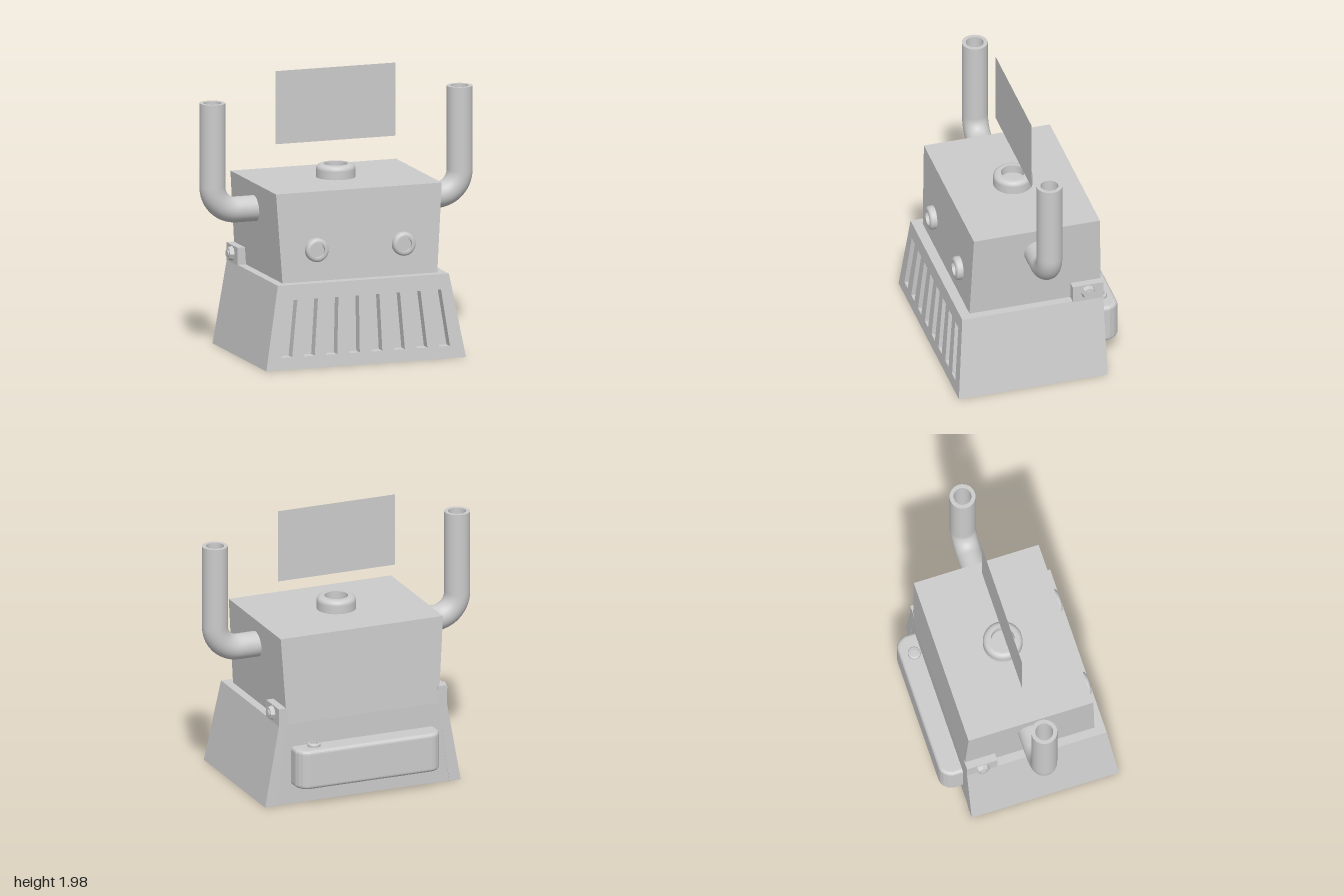
import * as THREE from 'three';

const grey = new THREE.MeshStandardMaterial({ color: 0xcccccc });
const greyDouble = new THREE.MeshStandardMaterial({ color: 0xcccccc, side: THREE.DoubleSide });

function add(parent, name, geometry, material = grey) {
  const mesh = new THREE.Mesh(geometry, material);
  mesh.name = name;
  parent.add(mesh);
  return mesh;
}

// Box whose bottom and top rectangles differ: each is [x0, x1, z0, z1]
function taperedBox(y0, y1, bottom, top) {
  const geo = new THREE.BoxGeometry(1, 1, 1);
  const p = geo.attributes.position;
  for (let i = 0; i < p.count; i++) {
    const up = p.getY(i) > 0;
    const r = up ? top : bottom;
    p.setXYZ(i, p.getX(i) < 0 ? r[0] : r[1], up ? y1 : y0, p.getZ(i) < 0 ? r[2] : r[3]);
  }
  geo.computeVertexNormals();
  return geo;
}

// Rounded collar with a sunken flat centre, standing along +y
function collar(outer, inner, height, recess) {
  const round = Math.min(0.035, (outer - inner) * 0.7);
  const pts = [new THREE.Vector2(outer, 0)];
  for (let i = 0; i <= 6; i++) {
    const a = (i / 6) * Math.PI / 2;
    pts.push(new THREE.Vector2(outer - round + Math.cos(a) * round, height - round + Math.sin(a) * round));
  }
  // doubled points keep the inner rim crisp
  for (const y of [height, height, height - recess, height - recess]) pts.push(new THREE.Vector2(inner, y));
  pts.push(new THREE.Vector2(0, height - recess));
  return new THREE.LatheGeometry(pts, 32);
}

// Slotted front of the jaw: flat panel with holes, then leaned backwards
function grillePanel() {
  const shape = new THREE.Shape([
    new THREE.Vector2(-0.735, 0), new THREE.Vector2(0.735, 0),
    new THREE.Vector2(0.63, 0.585), new THREE.Vector2(-0.63, 0.585),
  ]);
  for (let i = 0; i < 8; i++) {
    const low = (i - 3.5) * 0.166, high = (i - 3.5) * 0.151, w = 0.039;
    shape.holes.push(new THREE.Path([
      new THREE.Vector2(low - w, 0.085), new THREE.Vector2(high - w, 0.48),
      new THREE.Vector2(high + w, 0.48), new THREE.Vector2(low + w, 0.085),
    ]));
  }
  const geo = new THREE.ExtrudeGeometry(shape, { depth: 0.07, bevelEnabled: false });
  const p = geo.attributes.position;
  for (let i = 0; i < p.count; i++) p.setZ(i, p.getZ(i) + 0.54 - p.getY(i) * 0.055 / 0.585);
  geo.computeVertexNormals();
  return geo;
}

// Bent hollow pipe on the side given by s
function hornPipe(s) {
  const group = new THREE.Group();
  group.name = s > 0 ? 'leftPipe' : 'rightPipe';
  const v = (x, y) => new THREE.Vector3(s * x, y, 0.01);
  const path = new THREE.CurvePath();
  path.add(new THREE.LineCurve3(v(0.55, 1.03), v(0.74, 1.03)));
  const k = 0.17 * 0.5523;
  path.add(new THREE.CubicBezierCurve3(v(0.74, 1.03), v(0.74 + k, 1.03), v(0.91, 1.2 - k), v(0.91, 1.2)));
  path.add(new THREE.LineCurve3(v(0.91, 1.2), v(0.91, 1.79)));
  add(group, 'pipeOutside', new THREE.TubeGeometry(path, 60, 0.09, 28), greyDouble);
  add(group, 'pipeInside', new THREE.TubeGeometry(path, 60, 0.062, 28), greyDouble);
  const rim = add(group, 'pipeRim', new THREE.RingGeometry(0.062, 0.09, 28));
  rim.rotation.x = -Math.PI / 2;
  rim.position.set(s * 0.91, 1.79, 0.01);
  return group;
}

// Tank with cut rear corners and softened edges
function tankGeometry() {
  const b = 0.025;
  const shape = new THREE.Shape();
  shape.moveTo(-0.54 + b, 0.44);
  shape.lineTo(0.54 - b, 0.44);
  shape.lineTo(0.54 - b, 0.53);
  shape.quadraticCurveTo(0.52 - b, 0.61 - b, 0.48 - b, 0.61 - b);
  shape.lineTo(-0.48 + b, 0.61 - b);
  shape.quadraticCurveTo(-0.52 + b, 0.61 - b, -0.54 + b, 0.53);
  const geo = new THREE.ExtrudeGeometry(shape, {
    depth: 0.28 - 2 * b, bevelThickness: b, bevelSize: b, bevelSegments: 4, curveSegments: 4,
  });
  geo.rotateX(-Math.PI / 2); // shape y becomes -z, depth becomes +y
  geo.translate(0, 0.14 + b, 0);
  return geo;
}

export function createModel() {
  const model = new THREE.Group();
  model.name = 'robotHead';

  // Head: upper block and the lower block that fills the jaw
  add(model, 'upperHead', taperedBox(0.585, 1.21, [-0.57, 0.57, -0.46, 0.485], [-0.61, 0.61, -0.442, 0.465]));
  add(model, 'lowerHead', taperedBox(0.004, 0.585, [-0.65, 0.65, -0.457, 0.538], [-0.57, 0.57, -0.46, 0.484]));

  // Jaw front
  add(model, 'jawGrille', grillePanel());

  for (const s of [1, -1]) {
    const side = s > 0 ? 'left' : 'right';
    const span = (a, b) => (s > 0 ? [a, b] : [-b, -a]);

    // Jaw side, hinge tab and bolt
    add(model, side + 'JawSide', taperedBox(0, 0.585,
      [...span(0.65, 0.735), -0.46, 0.54], [...span(0.565, 0.63), -0.46, 0.485]));
    const tab = [...span(0.56, 0.632), -0.46, -0.24];
    add(model, side + 'HingeTab', taperedBox(0.58, 0.705, tab, tab));
    const bolt = new THREE.Group();
    bolt.name = side + 'HingeBolt';
    bolt.position.set(s * 0.63, 0.648, -0.35);
    bolt.rotation.z = -s * Math.PI / 2;
    add(bolt, 'boltHead', new THREE.CylinderGeometry(0.042, 0.053, 0.035, 8).toNonIndexed()).position.y = 0.015;
    bolt.children[0].geometry.computeVertexNormals();
    add(bolt, 'boltTip', new THREE.CylinderGeometry(0.026, 0.026, 0.02, 12)).position.y = 0.032;
    model.add(bolt);

    // Eye
    const eye = add(model, side + 'Eye', collar(0.083, 0.05, 0.055, 0.025), greyDouble);
    eye.rotation.x = Math.PI / 2;
    eye.position.set(s * 0.32, 0.805, 0.47);

    model.add(hornPipe(s));
  }

  // Collar on top of the head
  add(model, 'topCollar', collar(0.137, 0.082, 0.097, 0.06), greyDouble).position.set(0, 1.205, 0.005);

  // Rear tank with its filler cap
  add(model, 'rearTank', tankGeometry());
  add(model, 'tankCap', collar(0.045, 0.028, 0.035, 0.015), greyDouble).position.set(0.39, 0.41, -0.51);

  // Thin card floating above the head
  add(model, 'card', new THREE.PlaneGeometry(0.88, 0.515), greyDouble).position.set(0, 1.723, 0);

  return model;
}
